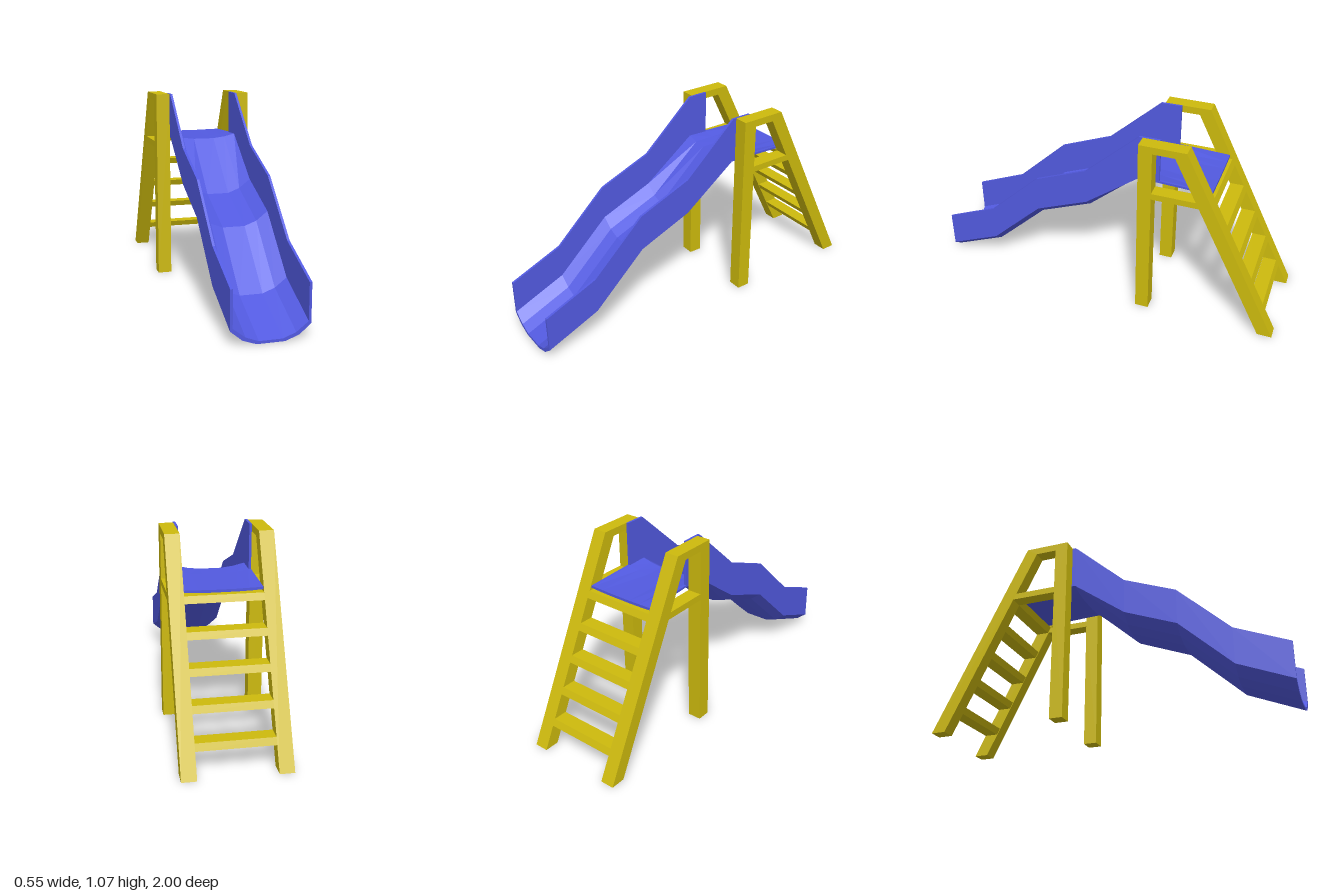
import * as THREE from 'three';

const yellow = new THREE.MeshStandardMaterial({ color: 0xcdba0d });
yellow.name = 'yellow frame';
const blue = new THREE.MeshStandardMaterial({ color: 0x525ae0 });
blue.name = 'blue slide';

// Extrude a (z, y) outline along x, centred on x = 0
function sideExtrude(points, width, hole) {
  const shape = new THREE.Shape(points.map(p => new THREE.Vector2(...p)));
  if (hole) shape.holes.push(new THREE.Path(hole.map(p => new THREE.Vector2(...p))));
  const geo = new THREE.ExtrudeGeometry(shape, { depth: width, bevelEnabled: false });
  geo.translate(0, 0, -width / 2);
  return geo.rotateY(-Math.PI / 2);
}

// Closed channel section: outer skin from +x to -x, then inner skin back again
function channelRing({ z, base, dip, rim }) {
  const half = [
    [[0.2, rim], [0.2, dip], [0.14, dip * 0.33], [0.07, 0]],
    [[0.187, Math.max(rim, dip + 0.012)], [0.187, dip + 0.012], [0.125, dip * 0.33 + 0.014], [0.06, 0.014]],
  ];
  const [outer, inner] = half.map(h => [...h, ...h.map(([x, y]) => [-x, y]).reverse()]);
  return [...outer, ...inner.reverse()].map(([x, y]) => [x, base + y, z]);
}

// Flat-faced loft through channel sections, ordered from front to back
function loftChannel(sections) {
  const rings = sections.map(channelRing);
  const n = rings[0].length;
  const pos = [];
  const quad = (a, b, c, d) => pos.push(...a, ...b, ...c, ...a, ...c, ...d);
  for (let s = 0; s < rings.length - 1; s++) {
    for (let i = 0; i < n; i++) {
      const j = (i + 1) % n;
      quad(rings[s][i], rings[s][j], rings[s + 1][j], rings[s + 1][i]);
    }
  }
  const first = rings[0], last = rings[rings.length - 1];
  for (let i = 0; i < n / 2 - 1; i++) {
    const a = n - 1 - i, b = n - 2 - i;
    quad(first[i], first[a], first[b], first[i + 1]);
    quad(last[i], last[i + 1], last[b], last[a]);
  }
  const geo = new THREE.BufferGeometry();
  geo.setAttribute('position', new THREE.Float32BufferAttribute(pos, 3));
  geo.computeVertexNormals();
  return geo;
}

export function createModel() {
  const group = new THREE.Group();
  const add = (name, geo, mat, x = 0) => {
    const mesh = new THREE.Mesh(geo, mat);
    mesh.name = name;
    mesh.position.x = x;
    group.add(mesh);
  };

  // Side frames: upright post, top bar, sloping ladder leg and cross bar
  const frame = sideExtrude(
    [[-0.21, 0], [-0.21, 1.07], [-0.465, 1.07], [-1, 0], [-0.92, 0], [-0.5425, 0.755], [-0.285, 0.755], [-0.285, 0]],
    0.077,
    [[-0.285, 0.79], [-0.285, 1.03], [-0.405, 1.03], [-0.525, 0.79]]
  );
  add('leftFrame', frame, yellow, 0.2385);
  add('rightFrame', frame, yellow, -0.2385);

  // Ladder rungs, slanted flush with the legs
  const backZ = y => -1 + 0.5 * y;
  for (let i = 0; i < 5; i++) {
    const top = 0.158 + i * 0.158, low = top - 0.035;
    const outline = [[backZ(low), low], [backZ(low) + 0.077, low], [backZ(top) + 0.077, top], [backZ(top), top]];
    add('rung' + (i + 1), sideExtrude(outline, 0.4), yellow);
  }

  // Wavy chute with tall side walls
  const chute = [
    [1, 0, 0.075], [0.705, 0.123, 0.075], [0.41, 0.4, 0.075],
    [0.11, 0.52, 0.075], [-0.19, 0.793, 0.025], [-0.305, 0.794, 0.02],
  ].map(([z, base, dip]) => ({ z, base, dip, rim: 0.277 }));
  add('chute', loftChannel(chute), blue);

  // Platform: the chute floor flattening out towards the ladder
  const platform = [[-0.305, 0.794, 0.02], [-0.59, 0.797, 0.005]]
    .map(([z, base, dip]) => ({ z, base, dip, rim: dip + 0.012 }));
  add('platform', loftChannel(platform), blue);

  return group;
}
